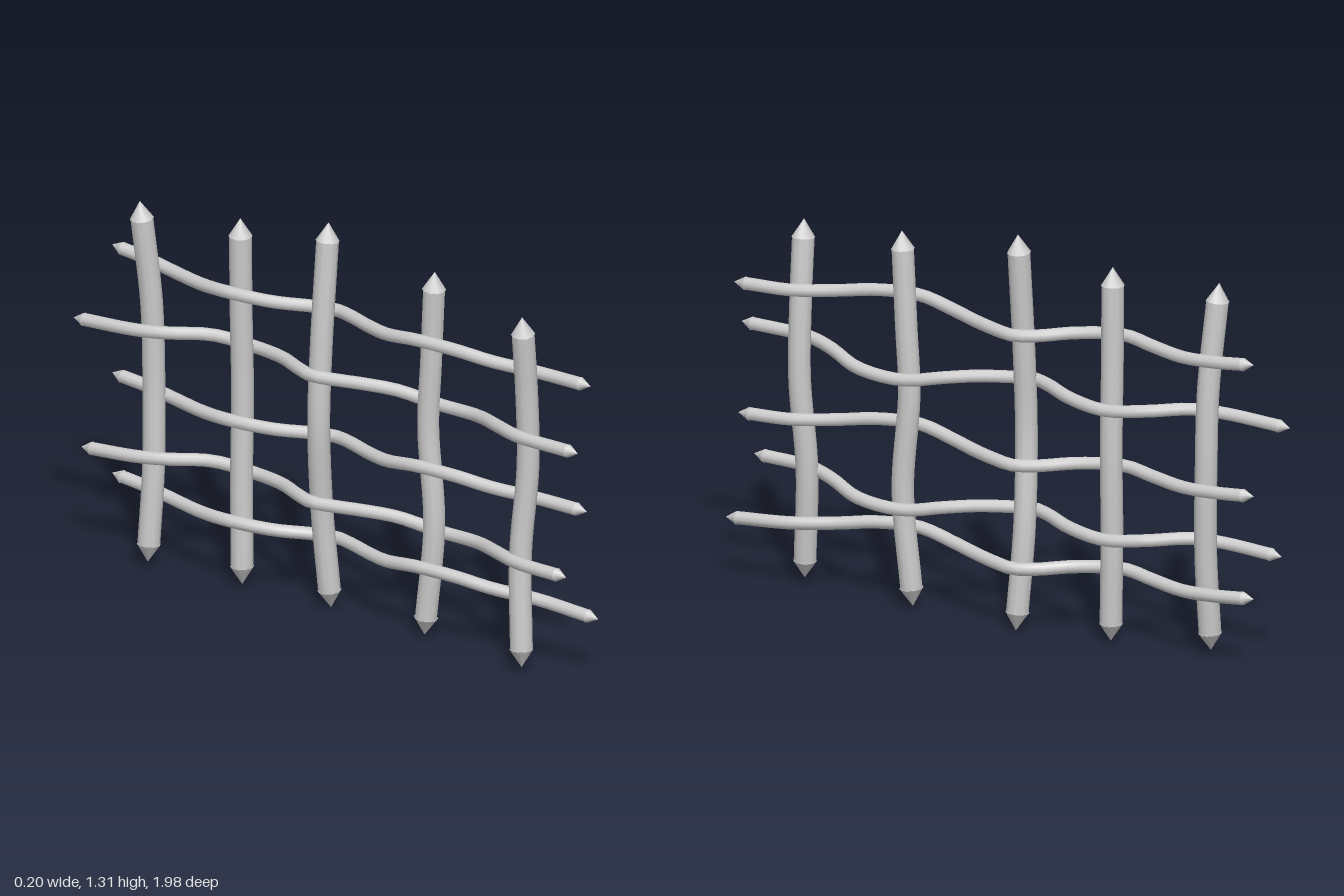
import * as THREE from 'three';

const material = new THREE.MeshStandardMaterial({ color: 0xcccccc });
const UP = new THREE.Vector3(0, 1, 0);

// A round stick along a smooth path, with a cut point at each end
function createStick(name, points, radius, tipLength, sides) {
  const stick = new THREE.Group();
  stick.name = name;
  const curve = new THREE.CatmullRomCurve3(points.map((p) => new THREE.Vector3(...p)));
  const shaft = new THREE.Mesh(new THREE.TubeGeometry(curve, 48, radius, sides), material);
  shaft.name = name + 'Shaft';
  stick.add(shaft);
  for (const end of [0, 1]) {
    const direction = curve.getTangentAt(end).multiplyScalar(end ? 1 : -1);
    const tip = new THREE.Mesh(new THREE.ConeGeometry(radius * 1.06, tipLength, sides), material);
    tip.name = name + 'Tip';
    tip.quaternion.setFromUnitVectors(UP, direction);
    tip.position.copy(curve.getPointAt(end)).addScaledVector(direction, tipLength / 2 - 0.003);
    stick.add(tip);
  }
  return stick;
}

// Upright posts: [x, y, z] from the base to the top
const posts = [
  [[-0.045, 0.085, 0.745], [-0.025, 0.4, 0.727], [-0.01, 0.7, 0.745], [-0.02, 0.95, 0.747], [-0.043, 1.16, 0.75]],
  [[0.008, 0.075, 0.333], [0.015, 0.4, 0.36], [0.015, 0.72, 0.337], [0.015, 0.95, 0.348], [0.012, 1.2, 0.362]],
  [[0.03, 0.065, -0.06], [0.01, 0.35, -0.075], [-0.02, 0.65, -0.065], [-0.01, 0.9, -0.063], [0.02, 1.26, -0.06]],
  [[0.005, 0.075, -0.383], [0.015, 0.4, -0.392], [0.02, 0.65, -0.392], [0.012, 0.95, -0.392], [0.006, 1.2, -0.39]],
  [[-0.04, 0.085, -0.714], [-0.02, 0.35, -0.71], [-0.008, 0.65, -0.718], [-0.015, 0.9, -0.722], [-0.042, 1.19, -0.74]],
];

// Two weaving paths in plan, [z, x], passing the posts on opposite sides
const weaves = [
  [[0.75, 0.033], [0.6, -0.005], [0.48, -0.028], [0.33, -0.04], [0.2, -0.018], [0.1, 0.02], [0, 0.06], [-0.07, 0.078],
    [-0.14, 0.055], [-0.25, -0.01], [-0.4, -0.045], [-0.52, -0.02], [-0.65, 0.018], [-0.78, 0.038]],
  [[0.75, -0.072], [0.64, -0.025], [0.5, 0.05], [0.33, 0.066], [0.2, 0.04], [0.1, 0], [0, -0.035], [-0.07, -0.052],
    [-0.14, -0.025], [-0.25, 0.035], [-0.4, 0.07], [-0.53, 0.045], [-0.65, -0.035], [-0.75, -0.062]],
];
const weaveEnds = [[0.04, 0.04], [-0.085, -0.067]];

// Woven rails: weave index, front and back ends, and heights at the stations
const stations = [1, 0.75, 0.38, 0.1, -0.07, -0.39, -0.6, -1];
const rails = [
  { weave: 0, front: 0.955, back: -0.92, heights: [1.0, 1.003, 1.037, 1.005, 1.0, 1.02, 1.003, 1.03] },
  { weave: 1, front: 1.0, back: -0.99, heights: [0.825, 0.82, 0.78, 0.815, 0.82, 0.802, 0.818, 0.8] },
  { weave: 0, front: 0.94, back: -0.92, heights: [0.57, 0.575, 0.61, 0.575, 0.57, 0.587, 0.573, 0.595] },
  { weave: 1, front: 0.955, back: -0.96, heights: [0.395, 0.39, 0.35, 0.385, 0.39, 0.373, 0.39, 0.368] },
  { weave: 0, front: 0.985, back: -0.92, heights: [0.218, 0.232, 0.268, 0.235, 0.228, 0.245, 0.23, 0.255] },
];

// Eased height between neighbouring stations
function heightAt(heights, z) {
  let i = 0;
  while (i < stations.length - 2 && z < stations[i + 1]) i++;
  const t = (stations[i] - z) / (stations[i] - stations[i + 1]);
  return THREE.MathUtils.lerp(heights[i], heights[i + 1], THREE.MathUtils.smoothstep(t, 0, 1));
}

export function createModel() {
  const fence = new THREE.Group();
  fence.name = 'wovenFence';

  posts.forEach((points, i) => fence.add(createStick('post' + (i + 1), points, 0.036, 0.06, 10)));

  const railTip = 0.04;
  rails.forEach(({ weave, front, back, heights }, i) => {
    const [frontX, backX] = weaveEnds[weave];
    const plan = [[front - railTip, frontX], ...weaves[weave], [back + railTip, backX]];
    const points = plan.map(([z, x]) => [x, heightAt(heights, z), z]);
    fence.add(createStick('rail' + (i + 1), points, 0.021, railTip, 10));
  });
  return fence;
}
